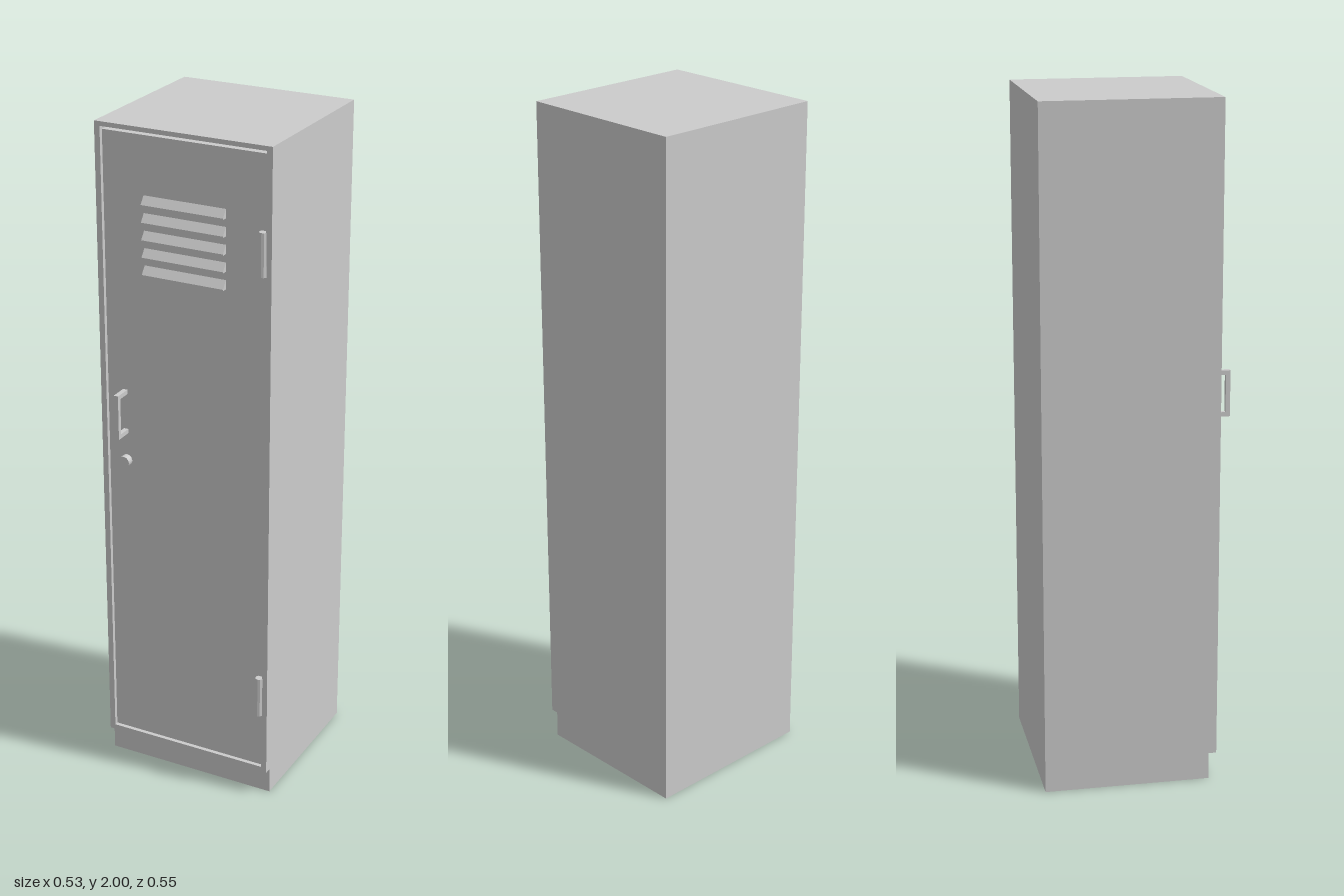
import * as THREE from 'three';

const grey = new THREE.MeshStandardMaterial({ color: 0xcccccc, flatShading: true });

export function createModel() {
  const locker = new THREE.Group();
  locker.name = 'locker';

  const add = (name, geometry, parent = locker) => {
    const mesh = new THREE.Mesh(geometry, grey);
    mesh.name = name;
    parent.add(mesh);
    return mesh;
  };
  // Box given by its limits on each axis
  const box = (name, [x0, x1], [y0, y1], [z0, z1], parent) =>
    add(name, new THREE.BoxGeometry(x1 - x0, y1 - y0, z1 - z0), parent)
      .position.set((x0 + x1) / 2, (y0 + y1) / 2, (z0 + z1) / 2);
  const rect = (Type, x0, x1, y0, y1) => new Type([
    new THREE.Vector2(x0, y0), new THREE.Vector2(x1, y0),
    new THREE.Vector2(x1, y1), new THREE.Vector2(x0, y1),
  ]);
  // Side profile (z, y) extruded across x, centred on x = 0
  const sideExtrude = (shape, width) =>
    new THREE.ExtrudeGeometry(shape, { depth: width, bevelEnabled: false })
      .rotateY(-Math.PI / 2).translate(width / 2, 0, 0);

  // Cabinet with a recessed plinth
  const W = 0.267, back = -0.277, front = 0.233, doorZ = 0.221;
  box('plinth', [-W, W], [0, 0.08], [back, 0.21]);
  box('cabinet', [-W, W], [0.08, 2], [back, 0.2]);

  // Rim around the door opening
  const rim = rect(THREE.Shape, -W, W, 0.08, 2);
  rim.holes.push(rect(THREE.Path, -0.25, 0.25, 0.096, 1.987));
  add('doorFrame', new THREE.ExtrudeGeometry(rim, { depth: front - 0.2, bevelEnabled: false }))
    .position.z = 0.2;

  // Inset door with a narrow gap along its top
  box('door', [-0.25, 0.25], [0.096, 1.976], [0.2, doorZ]);

  // Vent louvres, sloping out towards their lower edge
  const vents = new THREE.Group();
  vents.name = 'vents';
  locker.add(vents);
  const slat = new THREE.Shape([
    new THREE.Vector2(doorZ - 0.002, -0.014), new THREE.Vector2(0.238, -0.014),
    new THREE.Vector2(0.238, -0.01), new THREE.Vector2(doorZ - 0.002, 0.015),
  ]);
  const slatGeometry = sideExtrude(slat, 0.25);
  for (let i = 0; i < 5; i++) add('louvre', slatGeometry, vents).position.y = 1.796 - i * 0.05;

  // Pull handle
  const grip = new THREE.Shape([
    [0.215, 1.09], [0.275, 1.09], [0.275, 1.225], [0.215, 1.225],
    [0.215, 1.212], [0.262, 1.212], [0.262, 1.103], [0.215, 1.103],
  ].map(([z, y]) => new THREE.Vector2(z, y)));
  add('handle', sideExtrude(grip, 0.014)).position.x = -0.195;

  // Lock barrel
  add('lock', new THREE.CylinderGeometry(0.017, 0.017, 0.026, 20).rotateX(Math.PI / 2))
    .position.set(-0.194, 1.005, 0.228);

  // Hinge knuckles
  for (const y of [1.703, 0.338]) {
    add('hinge', new THREE.CylinderGeometry(0.012, 0.012, 0.125, 10))
      .position.set(0.24, y, 0.23);
  }
  return locker;
}
